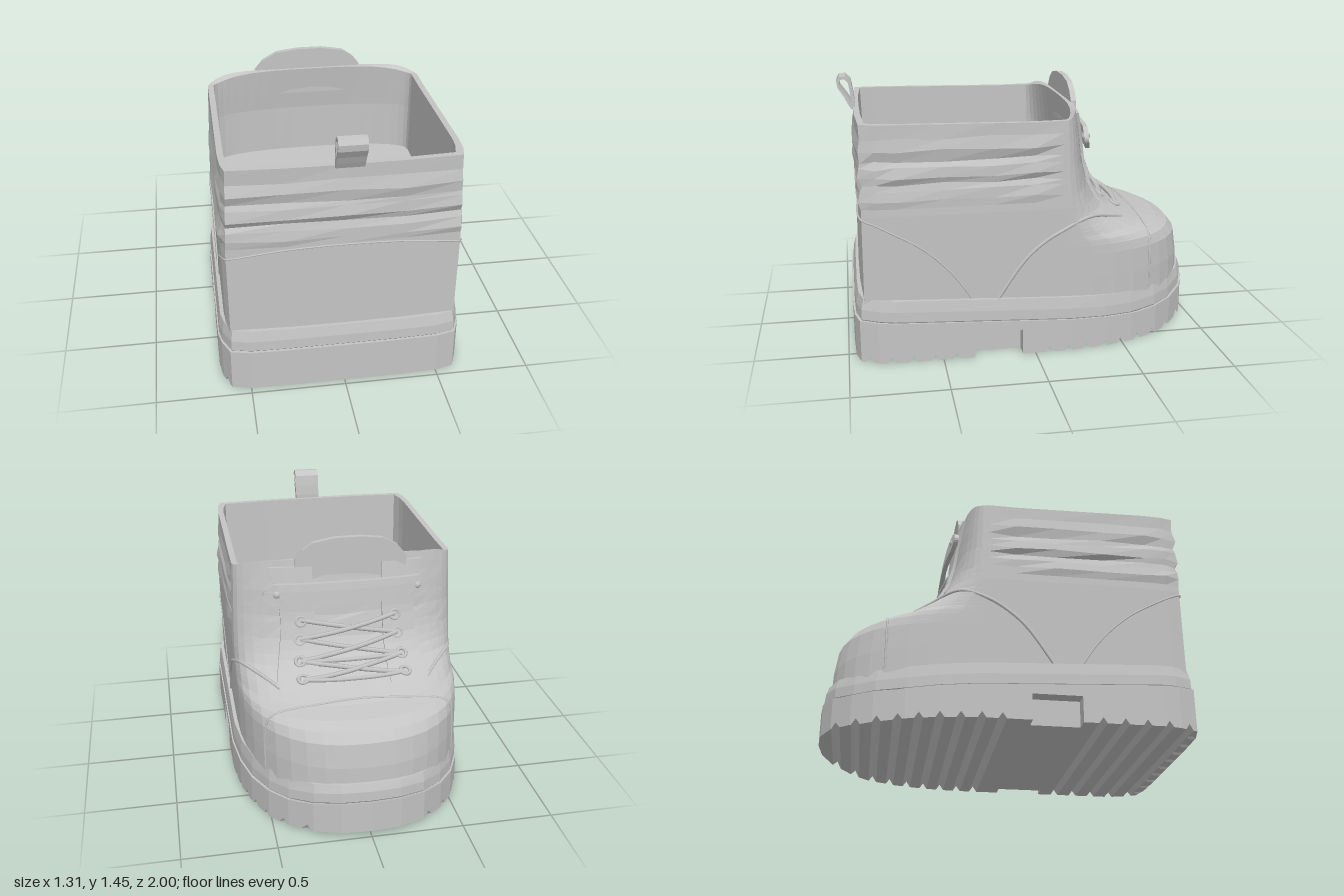
import * as THREE from 'three';

const grey = new THREE.MeshStandardMaterial({ color: 0xc4c4c4 });
grey.name = 'grey leather';

// linear lookup in a small [key, value] table with rising keys
function lerpTable(table, k) {
  if (k <= table[0][0]) return table[0][1];
  for (let i = 1; i < table.length; i++) {
    const [k0, v0] = table[i - 1], [k1, v1] = table[i];
    if (k <= k1) return v0 + (v1 - v0) * (k - k0) / (k1 - k0);
  }
  return table[table.length - 1][1];
}

// joins closed rings of [x, y, z] points into a faceted skin
function loft(rings) {
  const pos = [];
  for (let i = 0; i < rings.length - 1; i++) {
    const p = rings[i], q = rings[i + 1], n = p.length;
    for (let j = 0; j < n; j++) {
      const k = (j + 1) % n;
      pos.push(...p[j], ...p[k], ...q[k], ...p[j], ...q[k], ...q[j]);
    }
  }
  const g = new THREE.BufferGeometry();
  g.setAttribute('position', new THREE.Float32BufferAttribute(pos, 3));
  g.computeVertexNormals();
  return g;
}

// upper: half width, heel and toe limits by height; the toe is a superellipse
const Z0 = -0.15, N = 2.4;
const widthAt = y => lerpTable([[0.25, 0.617], [0.8, 0.624], [1.28, 0.608]], y);
const heelAt = y => lerpTable([[0.25, 0.925], [1.28, 0.918]], y);
const toeAt = y => lerpTable([[0.25, -0.955], [0.4, -0.95], [0.53, -0.93], [0.58, -0.89], [0.61, -0.82],
  [0.635, -0.7], [0.66, -0.64], [0.7, -0.55], [0.75, -0.46], [0.8, -0.41], [0.87, -0.365], [1, -0.325],
  [1.15, -0.305], [1.3, -0.275]], y);
const bulge = u => Math.pow(Math.max(0, 1 - Math.pow(Math.min(1, Math.abs(u)), N)), 1 / N);
const frontZ = (x, y) => Z0 - (Z0 - toeAt(y)) * bulge(x / widthAt(y));
const sideX = (z, y) => z > Z0 ? widthAt(y) : widthAt(y) * bulge((Z0 - z) / (Z0 - toeAt(y)));
const rimY = z => 1.265 + 0.015 * Math.abs(z) + 0.035 * THREE.MathUtils.smoothstep(-z, 0.18, 0.25);

// half outline of the sole, heel to toe: [half width, z]
const OUTLINE = [[0.3, 0.966], [0.5, 0.96], [0.6, 0.935], [0.64, 0.84], [0.655, 0.76], [0.655, 0.3],
  [0.655, -0.2], [0.63, -0.4], [0.585, -0.56], [0.51, -0.72], [0.42, -0.83], [0.3, -0.93], [0.16, -0.985], [0, -1]];
const soleTop = z => lerpTable([[-1, 0.215], [-0.85, 0.175], [-0.6, 0.16], [0.95, 0.232]], z);
const weltTop = z => lerpTable([[-1, 0.315], [-0.85, 0.295], [-0.6, 0.285], [0.95, 0.35]], z);

function mirrorRing(half) {
  const other = half.filter(p => p[0] > 1e-6).reverse().map(([x, y, z]) => [-x, y, z]);
  return [...half, ...other];
}

function soleGeometry() {
  const HALF = 0.022;
  const notches = [0.89, 0.775, 0.66, 0.545, 0.43];
  for (let k = 0; k < 9; k++) notches.push(-0.08 - 0.103 * k);
  const heelNotches = [0.54, 0.41, 0.28, 0.15, 0.02, -0.11, -0.24, -0.37, -0.5];
  const tooth = (centres, v) => Math.max(0, ...centres.map(c => 0.032 * (1 - Math.abs(v - c) / HALF)));
  const bottom = z => lerpTable([[-1, 0.035], [-0.75, 0], [1, 0]], z) + tooth(notches, z);
  const halfWidth = z => lerpTable(OUTLINE.map(([w, oz]) => [oz, w]).reverse(), z);
  const stations = OUTLINE.map(o => [o[1], o[1] > 0.07 && o[1] < 0.33]);
  notches.forEach(c => [-HALF, 0, HALF].forEach(d => stations.push([c + d, false])));
  // arch pocket on both sides
  stations.push([0.33, false], [0.33, true], [0.07, true], [0.07, false]);
  stations.sort((a, b) => b[0] - a[0]);
  const section = (z, w, pocket) => {
    const b = bottom(z), t = soleTop(z), d = pocket ? 0.08 : 0, p = pocket ? 0.14 : b, r = w - d;
    // short teeth run along the heel edge
    const teeth = heelNotches.flatMap(c => [c + HALF, c, c - HALF].map(x =>
      [Math.max(-r, Math.min(r, x)), b + (z > 0.93 ? tooth(heelNotches, x) : 0), z]));
    return [[w, t, z], [w, p, z], [r, p, z], [r, b, z], ...teeth, [-r, b, z], [-r, p, z], [-w, p, z], [-w, t, z]];
  };
  const rings = stations.map(([z, pocket]) => section(z, halfWidth(z), pocket));
  return loft([rings[0].map(([, y, z]) => [0, y, z]), ...rings]);
}

function weltGeometry() {
  const ring = (s, h) => mirrorRing(OUTLINE.map(([x, z]) => [x * s, h(z), z * s]));
  return loft([ring(0.975, z => soleTop(z) - 0.01), ring(0.99, z => soleTop(z) + 0.006),
    ring(0.988, z => soleTop(z) + 0.06), ring(0.974, weltTop), ring(0.9, weltTop)]);
}

function upperGeometry() {
  let seed = 11;
  const rand = () => (seed = (seed * 16807) % 2147483647) / 2147483647;
  const ring = (y, inset, rim, fold = 0) => {
    const w = widthAt(y) - inset, zb = heelAt(y) - inset;
    const zf = inset ? Math.max(-0.28, toeAt(y) + inset) : toeAt(y);
    const half = [[0, zb], [0.3, zb - 0.003], [w - 0.025, zb - 0.018], [w - 0.007, zb - 0.09]];
    [0.72, 0.48, 0.22, 0].forEach(z => half.push([w, z]));
    for (let k = 0; k <= 10; k++) {
      const a = k / 10 * Math.PI / 2;
      half.push([k === 10 ? 0 : w * Math.pow(Math.cos(a), 2 / N), Z0 - (Z0 - zf) * Math.pow(Math.sin(a), 2 / N)]);
    }
    const pts = mirrorRing(half.map(([x, z]) => [x, rim ? rimY(z) : y, z]));
    // leather creases around the ankle
    if (fold) pts.forEach(p => {
      const o = fold * rand();
      if (p[2] > 0.88) p[2] += o;
      else if (p[2] > -0.1) p[0] += Math.sign(p[0]) * o;
      p[1] += (rand() - 0.5) * 0.016;
    });
    return pts;
  };
  const heights = [0.25, 0.4, 0.48, 0.53, 0.56, 0.58, 0.597, 0.61, 0.623, 0.635, 0.66, 0.68, 0.7, 0.725,
    0.75, 0.8, 0.84];
  const folds = [[0.88, 0.016], [0.93, 0.006], [0.965, -0.014], [1, 0.018], [1.05, 0.006], [1.085, -0.014],
    [1.14, 0.016], [1.2, -0.006]];
  const floor = ring(0.78, 0.05);
  return loft([...heights.map(y => ring(y, 0)), ...folds.map(([y, f]) => ring(y, 0, false, f)),
    ring(1.28, 0, true), ring(1.28, 0.032, true), ring(1.05, 0.04), floor, floor.map(() => [0, 0.78, 0.3])]);
}

// plate lying on the front of the upper; edge(v) gives its [x from, x to] by height
function frontPlate(y0, y1, edge, lift, thick) {
  const g = new THREE.BoxGeometry(1, 1, 1, 10, 12, 1), p = g.attributes.position;
  for (let i = 0; i < p.count; i++) {
    const v = p.getY(i) + 0.5, y = y0 + (y1 - y0) * v, [a, b] = edge(v);
    const x = a + (b - a) * (p.getX(i) + 0.5);
    p.setXYZ(i, x, y, frontZ(x, y) - lift + thick * (p.getZ(i) - 0.5));
  }
  const flat = g.toNonIndexed();
  flat.computeVertexNormals();
  return flat;
}

function tube(points, radius) {
  const curve = new THREE.CatmullRomCurve3(points.map(p => new THREE.Vector3(...p)));
  return new THREE.TubeGeometry(curve, points.length * 5, radius, 6);
}

export function createModel() {
  const model = new THREE.Group();
  const add = (name, geometry) => {
    const m = new THREE.Mesh(geometry, grey);
    m.name = name;
    model.add(m);
    return m;
  };
  add('treadSole', soleGeometry());
  add('welt', weltGeometry());
  add('upper', upperGeometry());

  // stitched seams
  const flip = pts => pts.map(([x, y, z]) => [-x, y, z]);
  const onSide = (z, y) => [sideX(z, y), y, z];
  const counter = [[0.33, 0.31], [0.45, 0.48], [0.6, 0.62], [0.75, 0.71]].map(p => onSide(...p));
  counter.push([0.614, 0.755, 0.835], [0.6, 0.785, 0.904], [0.3, 0.82, 0.918]);
  add('heelSeam', tube([...counter, [0, 0.83, 0.921], ...flip(counter).reverse()], 0.005));
  const cap = [0.29, 0.4, 0.5, 0.57, 0.6, 0.62, 0.635, 0.643].map(y => onSide(-0.67, y));
  add('toeCapSeam', tube([...cap, [0, 0.65, -0.664], ...flip(cap).reverse()], 0.006));
  const quarter = [[0.21, 0.3], [0.05, 0.53], [-0.05, 0.62], [-0.15, 0.68], [-0.3, 0.735], [-0.45, 0.7],
    [-0.53, 0.675]].map(p => onSide(...p));
  add('leftVampSeam', tube(quarter, 0.01));
  add('rightVampSeam', tube(flip(quarter), 0.01));

  // lace facings
  const facing = v => [0.19, 0.42 - 0.05 * Math.sin(v * Math.PI)];
  add('leftFacing', frontPlate(0.685, 1.27, facing, 0.003, 0.016));
  add('rightFacing', frontPlate(0.685, 1.27, v => facing(v).map(x => -x).reverse(), 0.003, 0.016));

  // tongue rising above the collar
  const tongue = new THREE.Shape([[-0.33, 1.15], [0.28, 1.15], [0.28, 1.31], [0.24, 1.36], [0.18, 1.4], [0.06, 1.42],
    [-0.08, 1.42], [-0.2, 1.405], [-0.28, 1.36], [-0.33, 1.3]].map(p => new THREE.Vector2(...p)));
  add('tongue', new THREE.ExtrudeGeometry(tongue, { depth: 0.03, bevelEnabled: false })).position.z = -0.292;

  // strap with pointed ends
  const strapHalf = v => 0.4 + 0.06 * Math.sin(v * Math.PI);
  add('strap', frontPlate(1.07, 1.19, v => [-strapHalf(v), strapHalf(v)], 0.03, 0.025));

  // fittings turned to face out of the leather
  const place = (mesh, x, y, lift) => {
    const e = 0.01;
    const n = new THREE.Vector3((frontZ(x + e, y) - frontZ(x - e, y)) / (2 * e),
      (frontZ(x, y + e) - frontZ(x, y - e)) / (2 * e), -1).normalize();
    mesh.quaternion.setFromUnitVectors(new THREE.Vector3(0, 0, 1), n);
    mesh.position.set(x, y, frontZ(x, y)).addScaledVector(n, lift);
  };
  const rows = [[0.28, 0.705], [0.28, 0.77], [0.27, 0.87], [0.26, 0.97]];
  for (const s of [-1, 1]) {
    rows.forEach(([x, y]) => place(add('eyelet', new THREE.TorusGeometry(0.026, 0.01, 6, 12)), s * x, y, 0.015));
    place(add('strapRivet', new THREE.SphereGeometry(0.025, 10, 6)), s * 0.38, 1.13, 0.038);
  }

  // laces: straight bars at the bottom, crosses above
  const lace = (a, b, lift) => {
    const pts = [];
    for (let k = 0; k <= 6; k++) {
      const t = k / 6, x = a[0] + (b[0] - a[0]) * t, y = a[1] + (b[1] - a[1]) * t;
      pts.push([x, y + 0.01, frontZ(x, y) - 0.012 - lift * Math.sin(Math.PI * t)]);
    }
    add('lace', tube(pts, 0.013));
  };
  rows.forEach(([x, y], i) => {
    if (i < 2) lace([-x, y], [x, y], 0.006);
    if (i === 3) return;
    const [x1, y1] = rows[i + 1];
    lace([-x, y], [x1, y1], 0.004);
    lace([x, y], [-x1, y1], 0.022);
  });

  // heel pull loop
  const vec = pts => pts.map(p => new THREE.Vector2(...p));
  const loop = new THREE.Shape(vec([[0.905, 1.265], [0.925, 1.265], [0.945, 1.3], [0.965, 1.34], [0.995, 1.385],
    [1, 1.42], [0.985, 1.445], [0.95, 1.448], [0.922, 1.42], [0.912, 1.36], [0.905, 1.3]]));
  loop.holes.push(new THREE.Path(vec([[0.925, 1.31], [0.93, 1.36], [0.938, 1.412], [0.957, 1.432], [0.977, 1.43],
    [0.986, 1.415], [0.98, 1.39], [0.95, 1.348]])));
  const pull = new THREE.ExtrudeGeometry(loop, { depth: 0.145, bevelEnabled: false });
  pull.rotateY(-Math.PI / 2);
  add('pullLoop', pull).position.x = 0.09;

  return model;
}
